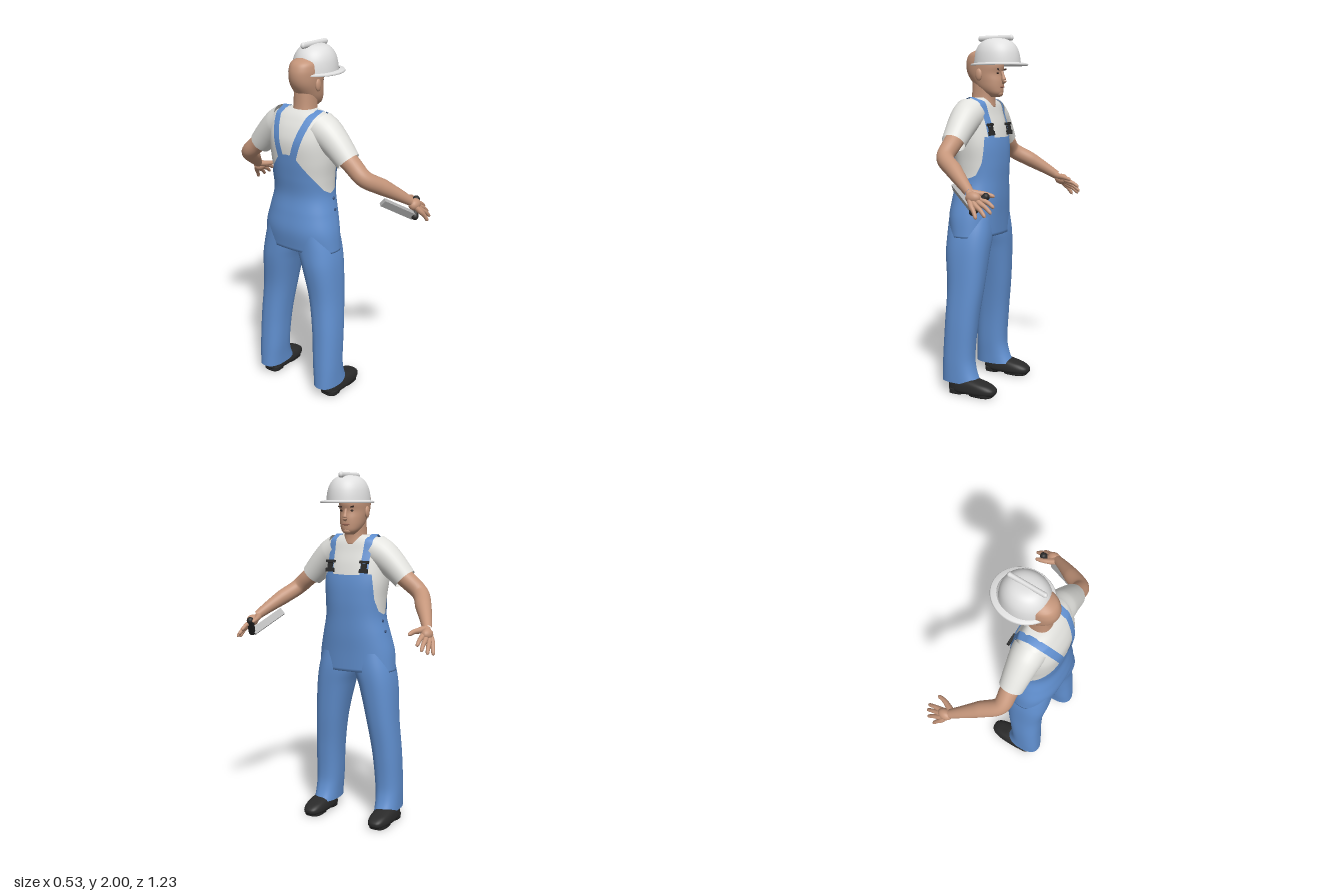
import * as THREE from 'three';

const paint = (name, color, side = THREE.FrontSide) =>
  Object.assign(new THREE.MeshStandardMaterial({ color, side }), { name });
const skin = paint('skin', 0xc4957a);
const blue = paint('overall blue', 0x6190d0, THREE.DoubleSide);
const navy = paint('button navy', 0x35507c);
const white = paint('shirt white', 0xe2e2de, THREE.DoubleSide);
const shell = paint('helmet white', 0xe0e0e0, THREE.DoubleSide);
const black = paint('black', 0x2a2a2a);
const brown = paint('brow brown', 0x3a2a24);
const lip = paint('lip', 0xa06a58);
const steel = paint('steel', 0xb0b0b0);

// Cross-sections: [y, back x, front x, low z, high z]
const TORSO = [[0.89, -0.25, 0.004, 0.228], [1.0, -0.262, 0.01, 0.218], [1.1, -0.25, 0.018, 0.195],
  [1.2, -0.235, 0.022, 0.172], [1.3, -0.245, 0.026, 0.175], [1.4, -0.255, 0.022, 0.187], [1.5, -0.257, 0.003, 0.19],
  [1.57, -0.235, -0.02, 0.188], [1.62, -0.205, -0.035, 0.178], [1.64, -0.19, -0.045, 0.145], [1.66, -0.165, -0.06, 0.08]]
  .map(([y, b, f, r]) => [y, b, f, -r, r]);
const LEG = [[0.065, -0.25, -0.02, 0.135, 0.272], [0.12, -0.248, -0.045, 0.132, 0.272], [0.2, -0.245, -0.06, 0.125, 0.272],
  [0.4, -0.235, -0.045, 0.11, 0.268], [0.6, -0.23, -0.02, 0.08, 0.255], [0.8, -0.25, -0.002, 0.035, 0.243],
  [0.9, -0.251, 0.004, 0.003, 0.228], [1.0, -0.25, 0, 0.002, 0.2]];
const HEAD = [[1.662, -0.06, 0.0, 0.022], [1.68, -0.09, 0.016, 0.044], [1.71, -0.13, 0.02, 0.06], [1.75, -0.165, 0.02, 0.069],
  [1.79, -0.19, 0.014, 0.075], [1.83, -0.2, 0.022, 0.078], [1.87, -0.196, 0.014, 0.077], [1.905, -0.175, -0.015, 0.065],
  [1.925, -0.13, -0.06, 0.03]].map(([y, b, f, r]) => [y, b, f, -r, r]);
const SHOE = [[0.012, -0.195, 0.082, 0.16, 0.27], [0.025, -0.203, 0.09, 0.153, 0.276], [0.045, -0.202, 0.086, 0.153, 0.276],
  [0.065, -0.2, 0.055, 0.158, 0.272], [0.078, -0.195, 0.01, 0.165, 0.265], [0.088, -0.185, -0.03, 0.175, 0.255]];
const NECK = [[1.6, -0.18, -0.03, -0.07, 0.07], [1.66, -0.165, -0.035, -0.06, 0.06], [1.76, -0.16, -0.02, -0.058, 0.058]];

const mirrorRows = (rows, s) => s > 0 ? rows : rows.map(([y, b, f, l, h]) => [y, b, f, -h, -l]);

// Smooth interpolation of the sections at height y
function at(rows, y) {
  let i = 0;
  while (i < rows.length - 2 && y > rows[i + 1][0]) i++;
  const a = rows[i], b = rows[i + 1], h = b[0] - a[0], t = THREE.MathUtils.clamp((y - a[0]) / h, 0, 1);
  const p = rows[i - 1] || a, q = rows[i + 2] || b;
  return a.map((_, k) => {
    const ma = (b[k] - p[k]) / (b[0] - p[0]) * h, mb = (q[k] - a[k]) / (q[0] - a[0]) * h;
    return (2 * t ** 3 - 3 * t * t + 1) * a[k] + (t ** 3 - 2 * t * t + t) * ma
      + (3 * t * t - 2 * t ** 3) * b[k] + (t ** 3 - t * t) * mb;
  });
}
const soft = (c, p) => Math.sign(c) * Math.abs(c) ** (2 / p);
function ringPoint(rows, y, ang, p, grow = 0, k = 1) {
  const [, b, f, l, h] = at(rows, y);
  return [(b + f) / 2 + k * ((f - b) / 2 + grow) * soft(Math.cos(ang), p), y,
    (l + h) / 2 + k * ((h - l) / 2 + grow) * soft(Math.sin(ang), p)];
}
// x of the front (dir 1) or back (dir -1) surface at height y and offset z
function faceX(rows, y, z, dir, p) {
  const [, b, f, , h] = at(rows, y);
  return (b + f) / 2 + dir * (f - b) / 2 * Math.max(0, 1 - Math.abs(z / h) ** p) ** (1 / p);
}
// Grid surface, wrapped around u unless open
function grid(fn, nu, nv, open = false) {
  const pos = [], idx = [], w = open ? nu + 1 : nu;
  for (let j = 0; j <= nv; j++) for (let i = 0; i < w; i++) pos.push(...fn(i / nu, j / nv, j));
  for (let j = 0; j < nv; j++) for (let i = 0; i < nu; i++) {
    const a = j * w + i, b = j * w + (i + 1) % w;
    idx.push(a, a + w, b, b, a + w, b + w);
  }
  const g = new THREE.BufferGeometry();
  g.setAttribute('position', new THREE.Float32BufferAttribute(pos, 3));
  g.setIndex(idx);
  g.computeVertexNormals();
  return g;
}
// Stack of rounded sections, closed at both ends if capped
function loft(rows, { p = 2.3, nu = 48, nv = 40, cap = true } = {}) {
  const y0 = rows[0][0], y1 = rows.at(-1)[0];
  return grid((u, v, j) => {
    const t = cap ? THREE.MathUtils.clamp((j - 1) / (nv - 2), 0, 1) : v;
    return ringPoint(rows, y0 + t * (y1 - y0), u * 2 * Math.PI, p, 0, cap && (j === 0 || j === nv) ? 0 : 1);
  }, nu, nv);
}
// Tapered tube through points [x, y, z, radius]
function limb(pts, s = 1, { nu = 20, nv = 24, round = false } = {}) {
  const curve = new THREE.CatmullRomCurve3(pts.map(([x, y, z]) => new THREE.Vector3(x, y, z * s)));
  const up = new THREE.Vector3(0, 1, 0);
  return grid((u, v) => {
    const c = curve.getPoint(v), T = curve.getTangent(v), k = v * (pts.length - 1), i = Math.min(Math.floor(k), pts.length - 2);
    let r = THREE.MathUtils.lerp(pts[i][3], pts[i + 1][3], k - i);
    if (round && v > 0.88) r *= Math.sqrt(Math.max(0, 1 - ((v - 0.88) / 0.12) ** 2));
    const A = T.clone().cross(up).normalize(), B = A.clone().cross(T), a = u * 2 * Math.PI;
    return c.addScaledVector(A, r * Math.cos(a)).addScaledVector(B, r * Math.sin(a)).toArray();
  }, nu, nv);
}

export function createModel() {
  const model = new THREE.Group();
  model.name = 'worker';
  const add = (name, geo, mat, x = 0, y = 0, z = 0) => {
    const m = new THREE.Mesh(geo, mat);
    m.name = name;
    m.position.set(x, y, z);
    model.add(m);
    return m;
  };
  const blob = (name, mat, x, y, z, rx, ry, rz) =>
    add(name, new THREE.SphereGeometry(1, 20, 14), mat, x, y, z).scale.set(rx, ry, rz);

  // Shirt, and overalls as a slightly larger shell with a shaped top edge
  add('shirt', loft(TORSO.filter(r => r[0] > 1.05)), white);
  const edge = [[0, 1.44], [0.25, 1.445], [0.27, 1.4], [0.32, 1.3], [0.4, 1.235], [0.5, 1.215], [0.6, 1.24],
    [0.72, 1.3], [0.85, 1.37], [0.94, 1.43], [1, 1.435]];
  const topEdge = (a) => {
    const i = Math.max(1, edge.findIndex(e => e[0] >= a)), [a0, y0] = edge[i - 1], [a1, y1] = edge[i];
    return y0 + (y1 - y0) * (a - a0) / (a1 - a0);
  };
  add('bib and seat', grid((u, v, j) => {
    const a = u * 2 * Math.PI, side = Math.min(1, Math.abs(u > 0.5 ? 1 - u : u) * 2);
    const y = 0.89 + (topEdge(side) - 0.89) * Math.max(0, (j - 1) / 35);
    return ringPoint(TORSO, y, a, 2.3, 0.006, j === 0 ? 0 : 1);
  }, 120, 36), blue);

  // Head, face and neck
  add('neck', loft(NECK, { nv: 12 }), skin);
  add('head', loft(HEAD, { p: 2.15 }), skin);
  add('nose', limb([[0.016, 1.803, 0, 0.007], [0.024, 1.775, 0, 0.01], [0.029, 1.75, 0, 0.014], [0.02, 1.738, 0, 0.006]]), skin);
  blob('mouth', lip, 0.018, 1.718, 0, 0.006, 0.006, 0.024);
  blob('chin', skin, 0.0, 1.682, 0, 0.02, 0.018, 0.026);

  // Helmet: dome, brim and top ridge
  const dome = [[1, 1.842], [0.965, 1.88], [0.9, 1.915], [0.78, 1.945], [0.6, 1.968], [0.35, 1.981], [0.001, 1.985]]
    .map(([r, y]) => new THREE.Vector2(r, y));
  add('helmet dome', new THREE.LatheGeometry(new THREE.SplineCurve(dome).getPoints(24), 48), shell, -0.014).scale.set(0.136, 1, 0.12);
  const brim = [[0.8, 1.85], [0.8, 1.842], [0.97, 1.834], [1, 1.838], [0.97, 1.845], [0.8, 1.85]].map(([r, y]) => new THREE.Vector2(r, y));
  add('helmet brim', new THREE.LatheGeometry(brim, 56), shell).scale.set(0.165, 1, 0.146);
  const ridge = add('helmet ridge', new THREE.CapsuleGeometry(0.0125, 0.192, 6, 14), shell, -0.022, 1.984, 0);
  ridge.rotation.z = Math.PI / 2;
  ridge.scale.x = 1.28;

  for (const s of [1, -1]) {
    const side = s > 0 ? 'right ' : 'left ';
    // Eyes, brows and ears
    blob(side + 'eye', brown, faceX(HEAD, 1.793, 0.031, 1, 2.15), 1.793, s * 0.031, 0.004, 0.005, 0.012);
    const brow = add(side + 'brow', new THREE.BoxGeometry(0.008, 0.008, 0.034),
      brown, faceX(HEAD, 1.813, 0.032, 1, 2.15), 1.813, s * 0.032);
    brow.rotation.set(-s * 0.15, s * 0.3, 0);
    blob(side + 'ear', skin, -0.088, 1.785, s * 0.077, 0.02, 0.033, 0.012);

    // Legs and shoes
    add(side + 'trouser leg', loft(mirrorRows(LEG, s), { cap: false, p: 2.4 }), blue);
    add(side + 'shoe', loft(mirrorRows(SHOE, s), { p: 2.7, nv: 20 }), black);
    const sole = (x0, x1) => loft(mirrorRows([[0, x0, x1, 0.165, 0.266], [0.03, x0, x1, 0.16, 0.27]], s), { p: 3, nv: 6 });
    add(side + 'heel', sole(-0.195, -0.1), black);
    add(side + 'front sole', sole(-0.07, 0.07), black);

    // Sleeve and arm
    add(side + 'sleeve', limb([[-0.12, 1.572, 0.115, 0.092], [-0.12, 1.545, 0.165, 0.088], [-0.12, 1.495, 0.225, 0.078],
      [-0.12, 1.418, 0.3, 0.066]], s, { nu: 32 }), white);
    add(side + 'arm', limb([[-0.12, 1.46, 0.25, 0.053], [-0.12, 1.405, 0.325, 0.05], [-0.115, 1.345, 0.395, 0.046],
      [-0.025, 1.285, 0.455, 0.044], [0.055, 1.23, 0.505, 0.033], [0.115, 1.187, 0.54, 0.025]], s, { nu: 28, nv: 40 }), skin);

    // Hand: each finger runs from the wrist through its knuckle to the tip
    blob(side + 'palm', skin, 0.143, 1.163, s * 0.552, 0.042, 0.032, 0.03);
    const fingers = [[[0.185, 1.155, 0.542], [0.26, 1.117, 0.547]], [[0.182, 1.141, 0.56], [0.257, 1.09, 0.57]],
      [[0.168, 1.13, 0.575], [0.237, 1.074, 0.596]], [[0.15, 1.127, 0.585], [0.192, 1.064, 0.61]]];
    for (const [k, t] of fingers) {
      const mid = k.map((c, i) => (c + t[i]) / 2 + (i === 1 ? 0.006 : 0));
      add(side + 'finger', limb([[0.108, 1.19, 0.537, 0.016], [...k, 0.0145], [...mid, 0.0115], [...t, 0.009]], s, { nu: 12, round: true }), skin);
    }
    add(side + 'thumb', limb([[0.105, 1.19, 0.532, 0.018], [0.145, 1.182, 0.512, 0.017], [0.185, 1.178, 0.495, 0.013],
      [0.232, 1.167, 0.487, 0.01]], s, { nu: 12, round: true }), skin);

    // Strap from the bib over the shoulder to the middle of the back
    add(side + 'strap', grid((u, v) => {
      const front = v < 0.5, d = Math.abs(v - 0.5) * 2;
      const y = Math.min(1.636, 1.655 - d * (front ? 0.22 : 0.25));
      const zc = 0.113 - (front ? 0.008 : 0.075) * d;
      const z = zc + (u - 0.5) * 0.042;
      const dir = front ? 1 : -1, x = faceX(TORSO, y, z, dir, 2.3) + dir * 0.009;
      const k = Math.min(1, d / 0.09);
      return [THREE.MathUtils.lerp(-0.115, x, k), y + (1 - k) * 0.022 + 0.004, s * z];
    }, 4, 60, true), blue);

    // Buckle
    const bx = faceX(TORSO, 1.485, 0.106, 1, 2.3) + 0.014;
    for (const [y, h, w] of [[1.512, 0.014, 0.054], [1.488, 0.03, 0.03], [1.464, 0.022, 0.05]]) {
      add(side + 'buckle', new THREE.BoxGeometry(0.016, h, w), black, bx + (1.488 - y) * 0.2, y, s * 0.106).rotation.z = 0.2;
    }

    // Hip buttons
    for (const y of [1.12, 1.18]) {
      const [x, , z] = ringPoint(TORSO, y, 1.45, 2.3, 0.007);
      blob(side + 'hip button', navy, x, y, s * z, 0.009, 0.009, 0.005);
    }
  }

  // Hand tool: black grip with a flat steel bar
  const along = (mesh, a, b) => {
    mesh.position.copy(a).add(b).multiplyScalar(0.5);
    mesh.quaternion.setFromUnitVectors(new THREE.Vector3(0, 1, 0), b.clone().sub(a).normalize());
  };
  along(add('tool grip', new THREE.CapsuleGeometry(0.02, 0.1, 5, 16), black),
    new THREE.Vector3(0.137, 1.085, 0.56), new THREE.Vector3(0.208, 1.178, 0.523));
  along(add('tool bar', new THREE.BoxGeometry(0.042, 0.22, 0.024), steel),
    new THREE.Vector3(-0.025, 1.203, 0.455), new THREE.Vector3(0.145, 1.095, 0.548));
  return model;
}
